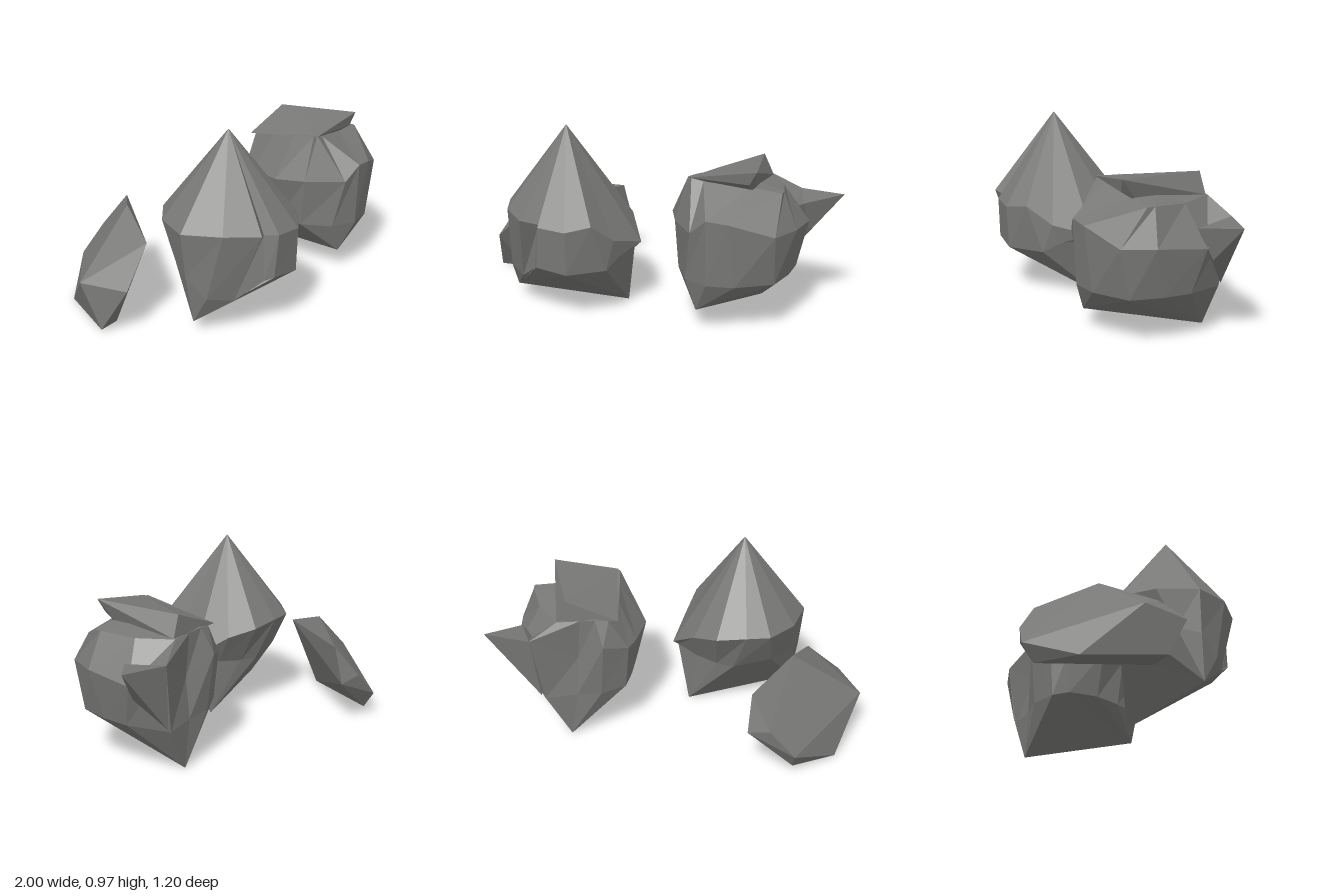
import * as THREE from 'three';
import { ConvexGeometry } from 'three/addons/geometries/ConvexGeometry.js';

const stone = new THREE.MeshStandardMaterial({ color: 0x787876 });
stone.name = 'grey stone';

const vec = (p) => new THREE.Vector3(...p);

// Faceted boulder wrapped around its corner points
function boulder(name, points) {
  const mesh = new THREE.Mesh(new ConvexGeometry(points.map(vec)), stone);
  mesh.name = name;
  return mesh;
}

// Rings of equal length joined by triangles, fanned to an apex; flat normals
function loft(name, apex, rings) {
  const pos = [];
  const tri = (a, b, c) => {
    const area = vec(b).sub(vec(a)).cross(vec(c).sub(vec(a))).length();
    if (area > 1e-6) pos.push(...a, ...b, ...c);
  };
  const n = rings[0].length;
  for (let i = 0; i < n; i++) {
    const j = (i + 1) % n;
    tri(rings[0][i], rings[0][j], apex);
    for (let k = 0; k + 1 < rings.length; k++) {
      const up = rings[k], low = rings[k + 1];
      tri(low[i], low[j], up[j]);
      tri(low[i], up[j], up[i]);
    }
  }
  const geo = new THREE.BufferGeometry();
  geo.setAttribute('position', new THREE.Float32BufferAttribute(pos, 3));
  geo.computeVertexNormals();
  const mesh = new THREE.Mesh(geo, stone);
  mesh.name = name;
  return mesh;
}

// Closing ring that collapses onto a keel edge: columns first..last go to a, the rest to b
const keelRing = (ring, first, last, a, b) => ring.map((_, i) => (i >= first && i <= last ? a : b));

function pointedRock() {
  const shoulder = [
    [-0.39, 0.51, 0.6], [-0.24, 0.5, 0.6], [-0.13, 0.52, 0.52], [-0.06, 0.42, 0.4],
    [0.01, 0.36, 0.2], [-0.1, 0.47, 0.05], [-0.22, 0.51, -0.05], [-0.38, 0.53, -0.07],
    [-0.51, 0.53, -0.06], [-0.65, 0.53, 0.07], [-0.73, 0.53, 0.27], [-0.64, 0.54, 0.46],
    [-0.5, 0.53, 0.585], [-0.42, 0.5, 0.53], // last one is the front crack
  ];
  const lower = [
    [-0.41, 0.29, 0.59], [-0.24, 0.27, 0.59], [-0.08, 0.27, 0.45], [-0.05, 0.32, 0.35],
    [-0.02, 0.33, 0.22], [-0.12, 0.31, 0.13], [-0.23, 0.3, 0.06], [-0.32, 0.3, 0.02],
    [-0.53, 0.33, 0.05], [-0.66, 0.33, 0.17], [-0.71, 0.3, 0.28], [-0.67, 0.2, 0.38],
    [-0.56, 0.18, 0.46], [-0.44, 0.27, 0.55],
  ];
  const keel = keelRing(lower, 1, 6, [-0.08, 0.005, 0.16], [-0.68, 0.06, 0.3]);
  return loft('pointedRock', [-0.38, 0.975, 0.27], [shoulder, lower, keel]);
}

function roundRock() {
  const rock = new THREE.Group();
  rock.name = 'roundRock';
  // Columns run front, left side, back (with a hollow at the seventh), right side
  const crown = [
    [0.38, 0.75, 0.28], [0.6, 0.73, 0.22], [0.77, 0.715, 0.22], [0.77, 0.715, 0.18],
    [0.72, 0.7, 0], [0.62, 0.7, -0.17], [0.5, 0.7, -0.16], [0.42, 0.71, -0.17],
    [0.35, 0.7, -0.16], [0.3, 0.72, 0], [0.3, 0.75, 0.15], [0.3, 0.77, 0.28], [0.32, 0.77, 0.29],
  ];
  const waist = [
    [0.46, 0.61, 0.475], [0.57, 0.6, 0.46], [0.78, 0.53, 0.36], [0.845, 0.53, 0.2],
    [0.845, 0.5, -0.06], [0.76, 0.62, -0.23], [0.52, 0.47, -0.15], [0.38, 0.57, -0.22],
    [0.25, 0.53, -0.15], [0.21, 0.53, -0.06], [0.16, 0.53, 0.13], [0.23, 0.53, 0.28], [0.37, 0.53, 0.45],
  ];
  const lower = [
    [0.46, 0.27, 0.46], [0.6, 0.27, 0.43], [0.77, 0.27, 0.31], [0.8, 0.27, 0.15],
    [0.8, 0.27, 0], [0.7, 0.25, -0.2], [0.53, 0.26, -0.18], [0.4, 0.27, -0.19],
    [0.27, 0.28, -0.13], [0.24, 0.3, -0.04], [0.22, 0.29, 0.12], [0.24, 0.27, 0.25], [0.33, 0.27, 0.4],
  ];
  const keel = keelRing(lower, 2, 8, [0.57, 0.005, -0.18], [0.39, 0.11, 0.4]);
  rock.add(loft('roundRockBody', [0.5, 0.74, 0.05], [crown, waist, lower, keel]));

  // Broken cap, its underside sunk into the body
  rock.add(boulder('roundRockCap', [
    [0.31, 0.77, 0.3], [0.66, 0.83, 0.3], [0.62, 0.76, 0.29], [0.62, 0.7, 0.2],
    [0.57, 0.81, -0.15], [0.3, 0.7, -0.16], [0.62, 0.7, -0.16],
  ]));
  // Side spur
  rock.add(boulder('roundRockSpur', [
    [1, 0.63, -0.165], [0.82, 0.6, -0.02], [0.76, 0.62, -0.23],
    [0.845, 0.44, -0.09], [0.72, 0.27, -0.2], [0.66, 0.5, -0.12],
  ]));
  return rock;
}

export function createModel() {
  const group = new THREE.Group();
  group.name = 'rocks';
  group.add(pointedRock(), roundRock());
  // Leaning slab behind the pointed rock
  group.add(boulder('slabRock', [
    [-0.61, 0.52, -0.22], [-0.73, 0.42, 0.04], [-0.38, 0.445, -0.47], [-0.36, 0.25, -0.53],
    [-0.47, 0.28, -0.57], [-0.6, 0.14, -0.6], [-0.6, 0.045, -0.54], [-0.84, 0.01, -0.41],
    [-1, 0.24, -0.16], [-0.92, 0.24, 0.09], [-0.98, 0.015, -0.04], [-0.86, 0.01, -0.06],
  ]));
  return group;
}
